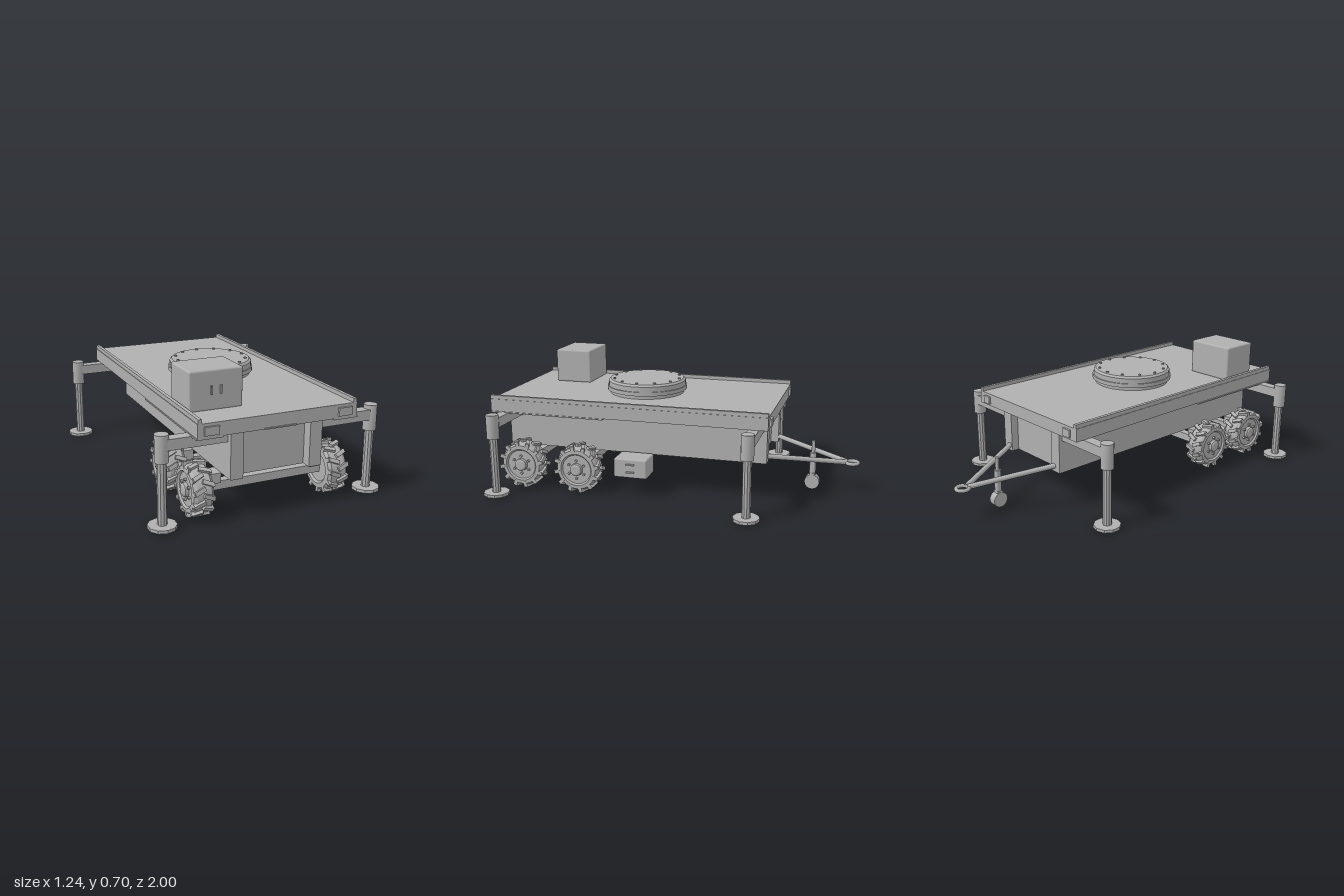
import * as THREE from 'three';
import { toCreasedNormals } from 'three/addons/utils/BufferGeometryUtils.js';
import { RoundedBoxGeometry } from 'three/addons/geometries/RoundedBoxGeometry.js';

const paint = new THREE.MeshStandardMaterial({ color: 0xb0b0b0 });
paint.name = 'grey paint';

export function createModel() {
  const root = new THREE.Group();
  root.name = 'platformTrailer';

  const add = (name, geo, parent = root) => {
    const mesh = new THREE.Mesh(geo, paint);
    mesh.name = name;
    parent.add(mesh);
    return mesh;
  };
  // Box given by its limits on each axis
  const box = (name, x0, x1, y0, y1, z0, z1, parent = root, round = 0) => {
    const w = x1 - x0, h = y1 - y0, d = z1 - z0;
    const g = round ? new RoundedBoxGeometry(w, h, d, 2, round) : new THREE.BoxGeometry(w, h, d);
    const m = add(name, g, parent);
    m.position.set((x0 + x1) / 2, (y0 + y1) / 2, (z0 + z1) / 2);
    return m;
  };
  // Upright cylinder between two heights
  const post = (name, r, y0, y1, x, z, sides = 12, parent = root) => {
    const m = add(name, toCreasedNormals(new THREE.CylinderGeometry(r, r, y1 - y0, sides), 0.6), parent);
    m.position.set(x, (y0 + y1) / 2, z);
    return m;
  };
  const tube = (name, a, b, r) => {
    const m = add(name, new THREE.CylinderGeometry(r, r, a.distanceTo(b), 12));
    m.position.copy(a).lerp(b, 0.5);
    m.quaternion.setFromUnitVectors(new THREE.Vector3(0, 1, 0), b.clone().sub(a).normalize());
  };
  const lathe = (pts, sides) =>
    toCreasedNormals(new THREE.LatheGeometry(pts.map(p => new THREE.Vector2(p[0], p[1])), sides), 0.5);

  // Deck: plate with a hollow skirt below
  const front = 0.985, back = -0.555;
  box('deckPlate', -0.405, 0.405, 0.487, 0.505, back, front);
  for (const s of [-1, 1]) {
    const skirt = box('sideSkirt', -0.011, 0.011, 0.437, 0.505, back, front);
    skirt.position.x = s * 0.402;
    const rail = box('deckRail', -0.009, 0.009, 0.505, 0.526, back, front);
    rail.position.x = s * 0.401;
    const guard = box('mudguard', -0.065, 0.065, 0.43, 0.437, 0.33, front);
    guard.position.x = s * 0.353;
    // Lamps on both ends
    box('frontLamp', s * 0.345 - 0.036, s * 0.345 + 0.036, 0.449, 0.49, front, 0.996);
    box('backLamp', s * 0.345 - 0.025, s * 0.345 + 0.025, 0.449, 0.49, -0.566, back);
  }
  box('frontSkirt', -0.391, 0.391, 0.437, 0.487, front - 0.02, front);
  box('backSkirt', -0.391, 0.391, 0.437, 0.487, back, back + 0.02);
  box('frontPlate', -0.083, 0.083, 0.437, 0.443, front, 0.992);

  // Chassis: two deep beams with cross panels
  for (const s of [-1, 1]) {
    const beam = box('chassisBeam', -0.0325, 0.0325, 0.205, 0.487, -0.525, 0.963);
    beam.position.x = s * 0.207;
  }
  for (let i = 0; i < 5; i++) {
    const z = -0.47 + i * 0.342;
    box('crossPanel', -0.176, 0.176, 0.205, 0.42, z - 0.012, z + 0.012);
  }

  // Outriggers at the four corners
  for (const s of [-1, 1]) for (const z of [0.905, -0.478]) {
    const jack = new THREE.Group();
    jack.name = 'outrigger';
    root.add(jack);
    const arm = box('outriggerArm', -0.15, 0.15, 0.382, 0.435, z - 0.028, z + 0.028, jack);
    arm.position.x = s * 0.385;
    post('jackSleeve', 0.034, 0.325, 0.456, s * 0.551, z, 12, jack);
    post('jackLeg', 0.023, 0.02, 0.33, s * 0.551, z, 10, jack);
    post('jackFoot', 0.07, 0.007, 0.023, s * 0.551, z, 10, jack);
  }

  // Wheel, with its outer face along +x
  const tyreGeo = lathe([[0, -0.045], [0.075, -0.045], [0.085, -0.055], [0.108, -0.052], [0.12, -0.038],
    [0.12, 0.034], [0.11, 0.05], [0.09, 0.052], [0.082, 0.042], [0.035, 0.042], [0.033, 0.058],
    [0.024, 0.064], [0, 0.064]], 32).rotateZ(-Math.PI / 2);
  const makeWheel = () => {
    const wheel = new THREE.Group();
    wheel.name = 'wheel';
    add('tyreAndRim', tyreGeo, wheel);
    const lugs = 12;
    for (const side of [-1, 1]) for (let i = 0; i < lugs; i++) {
      const holder = new THREE.Group();
      holder.name = 'treadLug';
      holder.rotation.x = (i + (side > 0 ? 0.5 : 0)) / lugs * Math.PI * 2;
      const lug = add('lugBlock', new THREE.BoxGeometry(0.056, 0.02, 0.02), holder);
      lug.position.set(side * 0.022, 0.123, 0);
      lug.rotation.y = side * 0.4;
      const shoulder = add('lugShoulder', new THREE.BoxGeometry(0.012, 0.03, 0.02), holder);
      shoulder.position.set(side * 0.046, 0.115, -0.011);
      wheel.add(holder);
    }
    for (let i = 0; i < 6; i++) {
      const a = i / 6 * Math.PI * 2;
      const nut = add('wheelNut', new THREE.CylinderGeometry(0.007, 0.007, 0.014, 6), wheel);
      nut.rotation.z = Math.PI / 2;
      nut.position.set(0.047, Math.cos(a) * 0.05, Math.sin(a) * 0.05);
    }
    return wheel;
  };

  // Two axles
  for (const z of [0.825, 0.495]) {
    box('axleBeam', -0.31, 0.31, 0.115, 0.158, z - 0.022, z + 0.022);
    for (const s of [-1, 1]) {
      const mount = box('axleMount', -0.029, 0.029, 0.156, 0.206, z - 0.04, z + 0.04);
      mount.position.x = s * 0.268;
      const wheel = makeWheel();
      wheel.position.set(s * 0.358, 0.135, z);
      if (s < 0) wheel.rotation.y = Math.PI;
      root.add(wheel);
    }
  }

  // Turntable with a ring of bolts
  const table = new THREE.Group();
  table.name = 'turntable';
  table.position.set(0, 0.505, 0.212);
  root.add(table);
  add('turntableDisc', lathe([[0.21, 0], [0.21, 0.02], [0.226, 0.02], [0.226, 0.042], [0.219, 0.042],
    [0.219, 0.07], [0.208, 0.081], [0, 0.081]], 48), table);
  for (let i = 0; i < 12; i++) {
    const a = i / 12 * Math.PI * 2;
    post('turntableBolt', 0.008, 0.078, 0.088, Math.cos(a) * 0.188, Math.sin(a) * 0.188, 6, table);
  }

  // Power unit on the deck, with two door handles
  box('powerUnit', -0.385, -0.112, 0.503, 0.697, 0.607, 0.823, root, 0.01);
  for (const x of [-0.274, -0.226])
    box('powerUnitHandle', x - 0.004, x + 0.004, 0.58, 0.622, 0.822, 0.833);

  // Side tool box
  box('toolBox', 0.25, 0.388, 0.108, 0.215, 0.098, 0.285, root, 0.01);
  for (const y of [0.142, 0.185])
    box('toolBoxHandle', 0.387, 0.396, y - 0.004, y + 0.004, 0.168, 0.212);

  // Towing frame and ring
  for (const s of [-1, 1])
    tube('towBar', new THREE.Vector3(s * 0.197, 0.236, -0.52), new THREE.Vector3(s * 0.006, 0.177, -0.93), 0.014);
  const ring = add('towRing', new THREE.TorusGeometry(0.033, 0.01, 10, 28));
  ring.rotation.x = Math.PI / 2;
  ring.position.set(0, 0.175, -0.957);

  // Jockey wheel
  post('jockeyShaft', 0.018, 0.085, 0.215, 0, -0.745);
  post('jockeyScrew', 0.01, 0.21, 0.285, 0, -0.745);
  box('jockeyFork', -0.019, 0.019, 0.06, 0.1, -0.76, -0.73);
  const jockey = add('jockeyWheel', toCreasedNormals(new THREE.CylinderGeometry(0.041, 0.041, 0.042, 24), 0.6));
  jockey.rotation.z = Math.PI / 2;
  jockey.position.set(0, 0.05, -0.745);

  return root;
}
